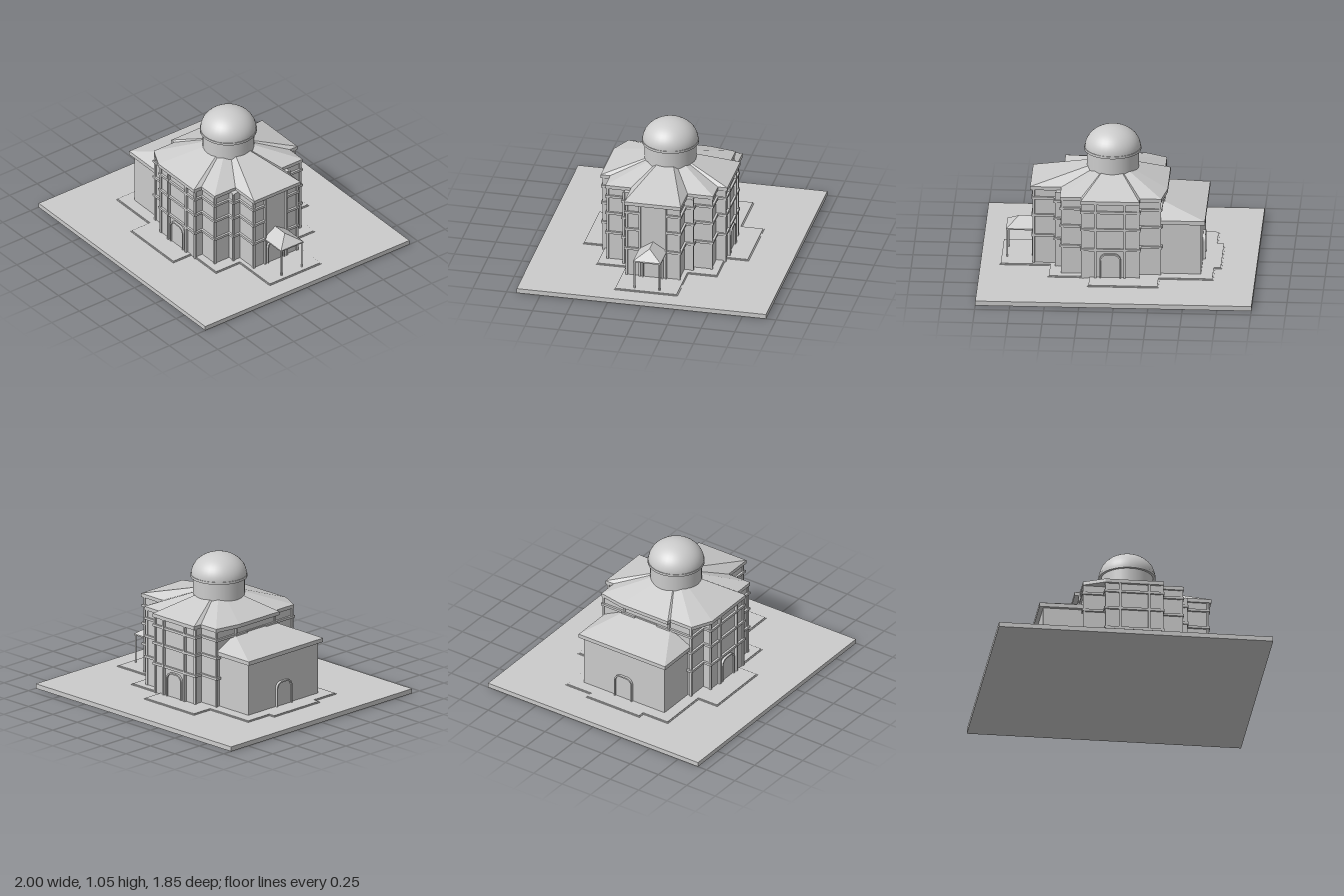
import * as THREE from 'three';

const mat = new THREE.MeshStandardMaterial({ color: 0xcccccc, side: THREE.DoubleSide });

export function createModel() {
  const model = new THREE.Group();

  const add = (name, geo, parent = model) => {
    const mesh = new THREE.Mesh(geo, mat);
    mesh.name = name;
    parent.add(mesh);
    return mesh;
  };
  // Box given by its limits on each axis
  const box = (name, x0, x1, y0, y1, z0, z1, parent) => {
    const g = new THREE.BoxGeometry(x1 - x0, y1 - y0, z1 - z0);
    g.translate((x0 + x1) / 2, (y0 + y1) / 2, (z0 + z1) / 2);
    return add(name, g, parent);
  };
  // Horizontal slab from a plan outline of [x, z] points
  const slab = (name, pts, y0, y1, parent) => {
    const shape = new THREE.Shape(pts.map(([x, z]) => new THREE.Vector2(x, -z)));
    const g = new THREE.ExtrudeGeometry(shape, { depth: y1 - y0, bevelEnabled: false });
    g.rotateX(-Math.PI / 2).translate(0, y0, 0);
    return add(name, g, parent);
  };
  // Flat-faced slopes from each outline edge up to an apex
  const slopes = (name, pts, y, apex, closed, parent) => {
    const v = [];
    for (let i = 0; i < pts.length - (closed ? 0 : 1); i++) {
      const a = pts[i], b = pts[(i + 1) % pts.length];
      v.push(a[0], y, a[1], b[0], y, b[1], ...apex);
    }
    const g = new THREE.BufferGeometry();
    g.setAttribute('position', new THREE.Float32BufferAttribute(v, 3));
    g.computeVertexNormals();
    return add(name, g, parent);
  };

  // Ground and stepped paving
  box('ground', -1, 1, 0, 0.035, -0.925, 0.925);
  const paving = (inset, y0, y1) => {
    const half = [[0.86, 0.235], [0.5, 0.235], [0.5, 0.45], [0.205, 0.45], [0.205, 0.615],
      [-0.31, 0.615], [-0.31, 0.45], [-0.7, 0.45], [-0.7, 0.235], [-0.75, 0.235]]
      .map(([x, z]) => [x - Math.sign(x) * inset, z - inset]);
    const other = half.map(([x, z]) => [x, -z]);
    slab('paving', [...half.reverse(), ...other], y0, y1);
  };
  paving(0, 0.035, 0.039);
  paving(0.008, 0.039, 0.044);

  // Walls: nested boxes make the stepped cross plan
  const walls = new THREE.Group();
  walls.name = 'mainWalls';
  model.add(walls);
  const Y0 = 0.035, Y1 = 0.62;
  const blocks = [
    ['transverseArm', -0.157, 0.25, 0.45],
    ['centralBlock', -0.31, 0.4, 0.385],
    ['cornerStep', -0.3, 0.45, 0.255],
    ['entranceArm', -0.32, 0.615, 0.195],
  ];
  for (const [name, x0, x1, z] of blocks) {
    box(name, x0, x1, Y0, Y1, -z, z, walls);
    // String courses, left open at the entrance bay
    for (const y of [0.26, 0.417, 0.552]) {
      const e = 0.016;
      if (name !== 'entranceArm') box('stringCourse', x0 - e, x1 + e, y - 0.009, y + 0.009, -z - e, z + e, walls);
      else for (const s of [-1, 1]) {
        const [a, b] = [s * 0.097, s * (z + e)].sort((p, q) => p - q);
        box('stringCourse', x0 - e, x1 + e, y - 0.009, y + 0.009, a, b, walls);
      }
    }
    // Slim corner pilasters
    for (const s of [-1, 1]) for (const x of [x0, x1]) {
      box('cornerPilaster', x - 0.008, x + 0.008, Y0, Y1, s * z - 0.008, s * z + 0.008, walls);
    }
  }
  for (const s of [-1, 1]) {
    for (const x of [-0.057, 0.155]) box('bayPilaster', x - 0.008, x + 0.008, Y0, Y1, s * 0.457 - 0.012, s * 0.457 + 0.012, walls);
    box('entrancePilaster', 0.605, 0.63, Y0, Y1, s * 0.097 - 0.007, s * 0.097 + 0.007, walls);
  }

  // Main roof: eaves slab and slopes towards the drum
  const eaves = [[-0.32, 0.395], [-0.165, 0.47], [0.26, 0.47], [0.26, 0.4], [0.415, 0.4], [0.415, 0.21],
    [0.64, 0.21], [0.64, -0.21], [0.415, -0.21], [0.415, -0.4], [0.26, -0.4], [0.26, -0.47],
    [-0.165, -0.47], [-0.165, -0.4], [-0.32, -0.4], [-0.357, -0.2], [-0.357, 0.21], [-0.32, 0.21]];
  slab('mainEaves', eaves, 0.615, 0.642);
  slopes('mainRoof', eaves, 0.642, [0.05, 0.8, 0], true);

  // Lower annex with its hipped lean-to roof
  box('annexWalls', -0.605, -0.3, Y0, 0.44, -0.355, 0.355);
  const annexEaves = [[-0.31, -0.38], [-0.635, -0.38], [-0.635, 0.38], [-0.31, 0.38]];
  slab('annexEaves', annexEaves, 0.435, 0.465);
  slopes('annexRoof', annexEaves, 0.465, [0.05, 0.655, 0], false);

  // Drum and dome
  const drum = new THREE.CylinderGeometry(0.188, 0.188, 0.2, 32, 1, true);
  add('drum', drum.translate(0.052, 0.775, 0));
  const rim = new THREE.CylinderGeometry(0.207, 0.207, 0.018, 32);
  add('domeRim', rim.translate(0.052, 0.876, 0));
  const dome = new THREE.SphereGeometry(0.203, 32, 14, 0, Math.PI * 2, 0, Math.PI / 2);
  add('dome', dome.scale(1, 0.8, 1).translate(0.052, 0.883, 0));

  // Arched doors: thin leaf with a raised surround
  const arch = (T, w, h, r) => {
    const s = new T();
    s.moveTo(-w, 0).lineTo(w, 0).lineTo(w, h - r);
    s.absarc(w - r, h - r, r, 0, Math.PI / 2, false);
    s.absarc(-w + r, h - r, r, Math.PI / 2, Math.PI, false);
    return s.lineTo(-w, 0);
  };
  const door = (name, x, z, angle) => {
    const g = new THREE.Group();
    g.name = name;
    const frame = arch(THREE.Shape, 0.077, 0.19, 0.05);
    frame.holes.push(arch(THREE.Path, 0.068, 0.18, 0.045));
    add('doorSurround', new THREE.ExtrudeGeometry(frame, { depth: 0.018, bevelEnabled: false }), g);
    const leaf = new THREE.ExtrudeGeometry(arch(THREE.Shape, 0.07, 0.182, 0.046), { depth: 0.006, bevelEnabled: false });
    add('doorLeaf', leaf, g);
    g.position.set(x, 0.04, z);
    g.rotation.y = angle;
    model.add(g);
  };
  door('frontDoor', 0.047, 0.45, 0);
  door('backDoor', 0.047, -0.45, Math.PI);
  door('entranceDoor', 0.615, 0, Math.PI / 2);
  door('annexDoor', -0.605, 0, -Math.PI / 2);

  // Entrance porch: two posts, eaves and a hipped gable roof
  const porch = new THREE.Group();
  porch.name = 'porch';
  model.add(porch);
  box('porchEaves', 0.61, 0.82, 0.253, 0.263, -0.102, 0.102, porch);
  const R = [0.61, 0.328, 0], H = [0.73, 0.328, 0];
  const fl = [0.82, 0.263, 0.102], fr = [0.82, 0.263, -0.102];
  const bl = [0.61, 0.263, 0.102], br = [0.61, 0.263, -0.102];
  const tris = [bl, fl, H, bl, H, R, fl, fr, H, fr, br, R, fr, R, H];
  const roof = new THREE.BufferGeometry();
  roof.setAttribute('position', new THREE.Float32BufferAttribute(tris.flat(), 3));
  roof.computeVertexNormals();
  add('porchRoof', roof, porch);
  for (const s of [-1, 1]) {
    const post = new THREE.CylinderGeometry(0.007, 0.007, 0.215, 10);
    add('porchPost', post.translate(0.812, 0.1475, s * 0.092), porch);
  }

  return model;
}
